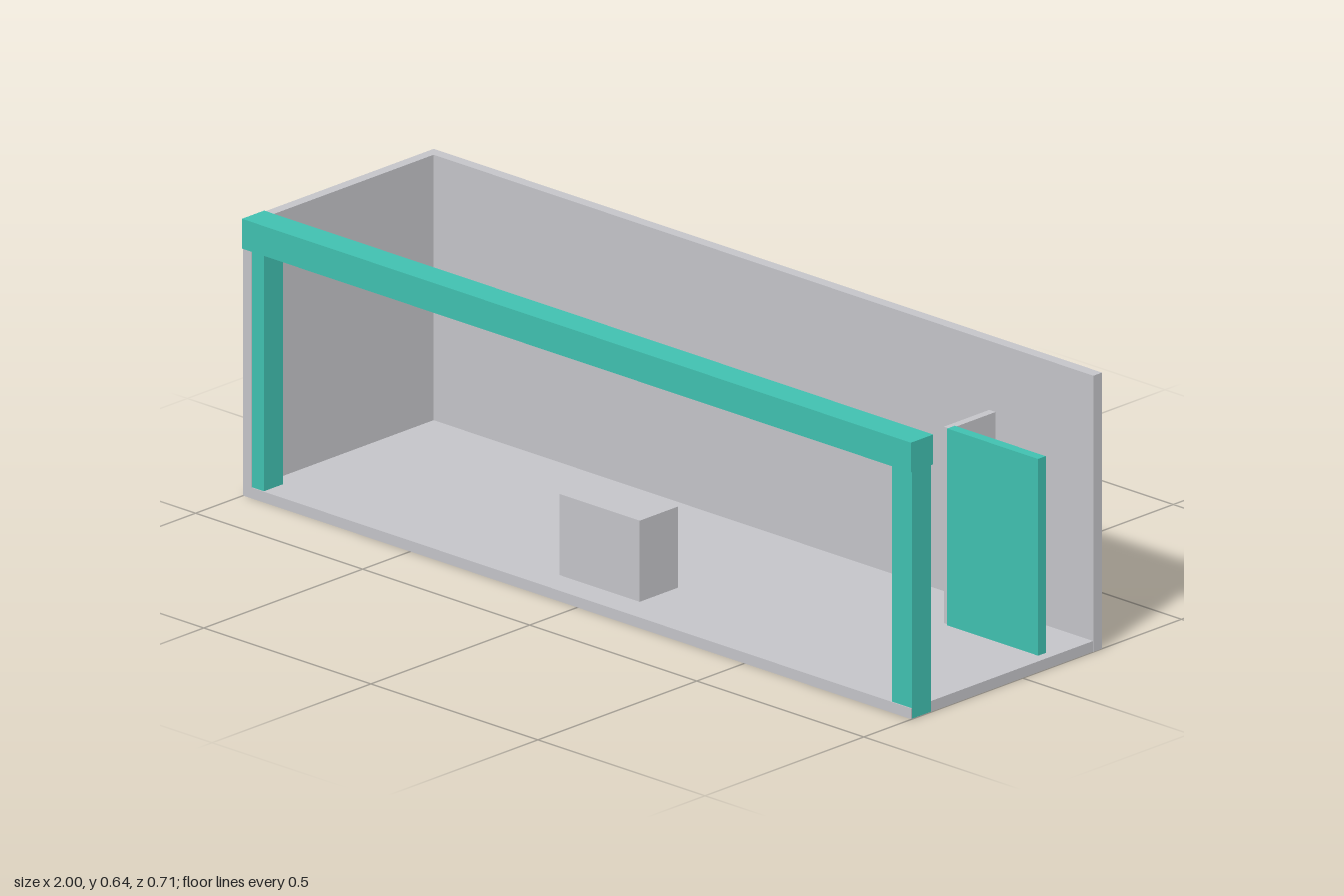
import * as THREE from 'three';

export function createModel() {
  const model = new THREE.Group();
  const grey = new THREE.MeshStandardMaterial({ color: 0xc4c4c8 });
  grey.name = 'light grey';
  const teal = new THREE.MeshStandardMaterial({ color: 0x40c0b0 });
  teal.name = 'teal';

  // Box given by its extents along each axis
  function slab(name, material, [x0, x1], [y0, y1], [z0, z1]) {
    const mesh = new THREE.Mesh(new THREE.BoxGeometry(x1 - x0, y1 - y0, z1 - z0), material);
    mesh.position.set((x0 + x1) / 2, (y0 + y1) / 2, (z0 + z1) / 2);
    mesh.name = name;
    model.add(mesh);
  }

  // Room shell: floor, back wall and one end wall
  slab('floor', grey, [-1, 0.999], [0, 0.025], [-0.25, 0.35]);
  slab('backWall', grey, [-1, 1], [0, 0.64], [-0.25, -0.223]);
  slab('endWall', grey, [-1, -0.975], [0, 0.64], [-0.25, 0.35]);

  // Front portal frame: two posts under a beam
  slab('rightPost', teal, [-0.999, -0.94], [0.001, 0.575], [0.288, 0.348]);
  slab('leftPost', teal, [0.94, 1], [0.001, 0.575], [0.288, 0.348]);
  slab('beam', teal, [-1.001, 1.001], [0.573, 0.642], [0.283, 0.353]);

  // Partition running through the back wall, with a door panel
  slab('partition', grey, [0.688, 0.707], [0.001, 0.48], [-0.352, -0.08]);
  slab('doorPanel', teal, [0.703, 0.975], [0.001, 0.481], [-0.099, -0.075]);

  // Counter block on the floor
  slab('counter', grey, [-0.12, 0.12], [0.02, 0.213], [0.16, 0.28]);

  return model;
}
